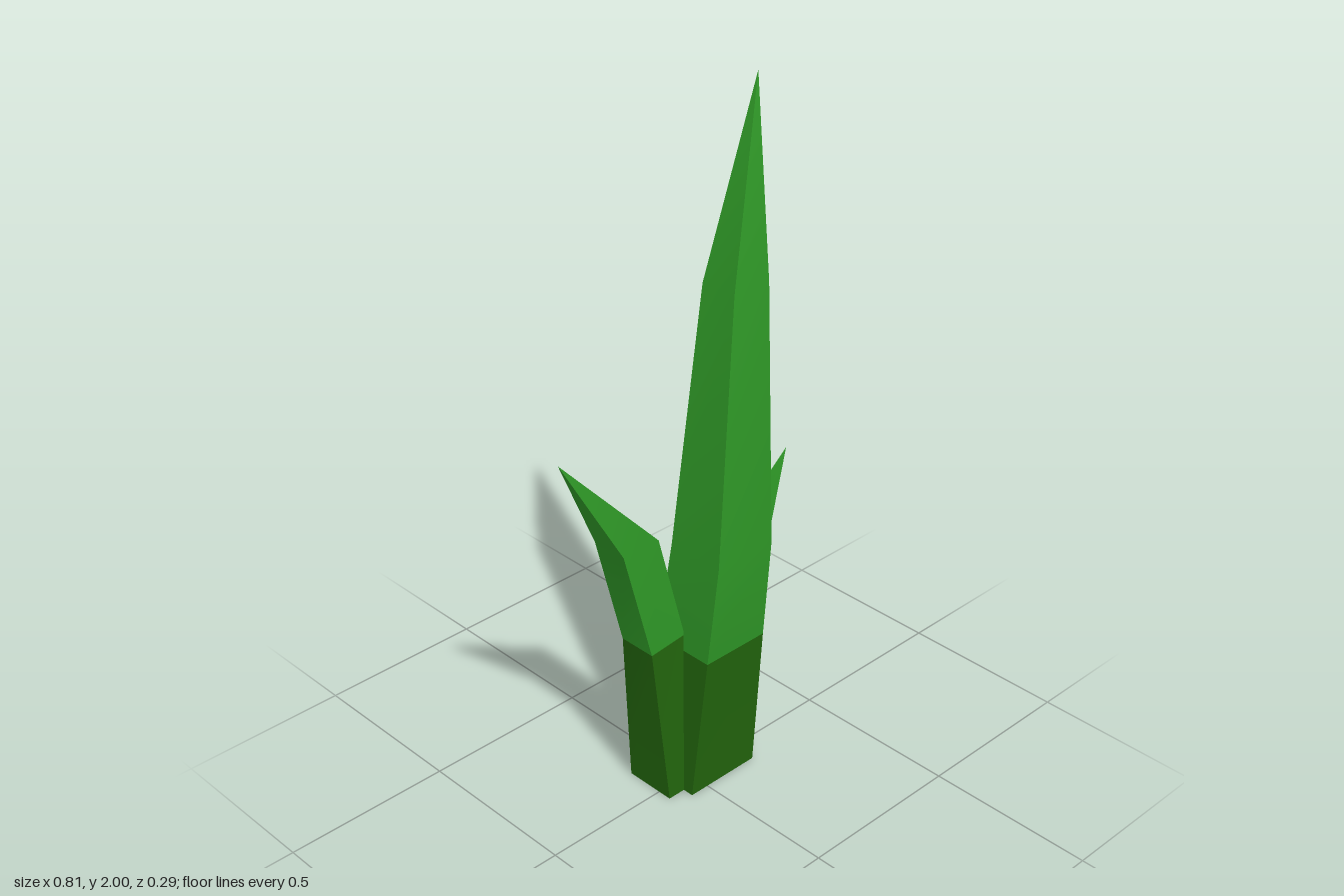
import * as THREE from 'three';

const baseGreen = new THREE.MeshStandardMaterial({ color: 0x22640d, side: THREE.DoubleSide });
baseGreen.name = 'dark base green';
const leafGreen = new THREE.MeshStandardMaterial({ color: 0x2e9626, side: THREE.DoubleSide });
leafGreen.name = 'leaf green';

// Four-sided blade, open at the bottom, ending in a point.
// Each ring is [y, left x, right x, back z, front z, y of right side].
// The first segment is the dark base, the rest is leaf.
function blade(name, rings, tip) {
  const corners = rings.map(([y, x0, x1, z0, z1, yr = y]) => [
    [x0, y, z1], [x1, yr, z1], [x1, yr, z0], [x0, y, z0],
  ]);
  corners.push([tip, tip, tip, tip]);
  const positions = [], index = [];

  // Each side is its own strip: sharp along the corners, smooth along the length
  for (let side = 0; side < 4; side++) {
    for (const ring of corners) positions.push(...ring[side], ...ring[(side + 1) % 4]);
  }
  const last = corners.length - 2;
  for (let seg = 0; seg <= last; seg++) {
    for (let side = 0; side < 4; side++) {
      const a = (side * corners.length + seg) * 2;
      index.push(a, a + 1, a + 3);
      if (seg < last) index.push(a, a + 3, a + 2);
    }
  }

  const geometry = new THREE.BufferGeometry();
  geometry.setAttribute('position', new THREE.Float32BufferAttribute(positions, 3));
  geometry.setIndex(index);
  geometry.addGroup(0, 24, 0);
  geometry.addGroup(24, index.length - 24, 1);
  geometry.computeVertexNormals();
  const mesh = new THREE.Mesh(geometry, [baseGreen, leafGreen]);
  mesh.name = name;
  return mesh;
}

export function createModel() {
  const plant = new THREE.Group();
  plant.name = 'grassTuft';
  plant.add(
    // Tall middle blade
    blade('middleBlade', [
      [0, -0.06, 0.18, -0.147, 0.075],
      [0.457, -0.042, 0.171, -0.079, 0.115],
      [0.77, -0.032, 0.165, -0.032, 0.145],
      [1.505, 0.062, 0.185, -0.015, 0.097],
    ], [0.275, 2, -0.04]),
    // Medium blade leaning to -x
    blade('rightBlade', [
      [0, -0.115, 0.055, -0.115, 0.042],
      [0.495, -0.157, -0.037, -0.094, 0.021, 0.507],
      [0.845, -0.25, -0.127, -0.091, 0.019],
    ], [-0.407, 1.155, -0.041]),
    // Short blade leaning to +x
    blade('leftBlade', [
      [0, 0.1, 0.225, -0.095, 0.025],
      [0.395, 0.145, 0.238, -0.079, 0.01],
      [0.65, 0.205, 0.298, -0.078, 0.005],
    ], [0.405, 0.89, -0.034]),
  );
  return plant;
}
